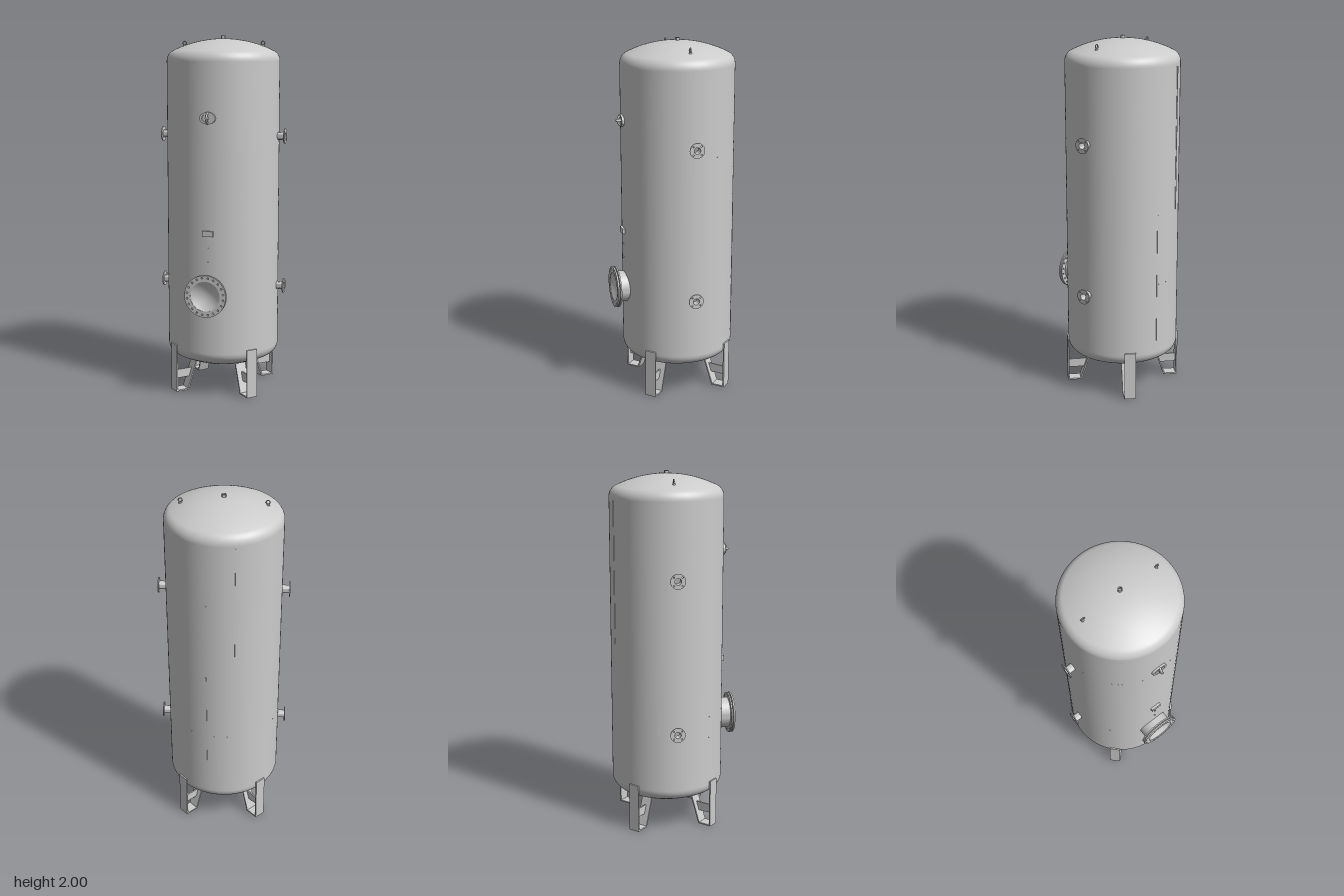
import * as THREE from 'three';
import { toCreasedNormals } from 'three/addons/utils/BufferGeometryUtils.js';
import { ParametricGeometry } from 'three/addons/geometries/ParametricGeometry.js';

const R = 0.316;                 // shell radius
const Y0 = 0.257, Y1 = 1.863;    // tangent lines of the two heads
const NOZZLE_Y = [0.6, 1.45];
const BORE = 0.018, PATCH = 0.06;

const mat = new THREE.MeshStandardMaterial({ color: 0xcccccc });
const shellMat = new THREE.MeshStandardMaterial({ color: 0xcccccc, side: THREE.DoubleSide });

function add(parent, name, geo, x = 0, y = 0, z = 0, material = mat) {
  const m = new THREE.Mesh(geo, material);
  m.name = name;
  m.position.set(x, y, z);
  parent.add(m);
  return m;
}

function group(parent, name, y = 0, turn = 0) {
  const g = new THREE.Group();
  g.name = name;
  g.position.y = y;
  g.rotation.y = turn;
  parent.add(g);
  return g;
}

// Flat round or oval ring along +z, with an optional circle of bolt holes
function ring(rOut, rIn, depth, bolts = 0, boltCircle = 0, boltR = 0, squash = 1) {
  const s = new THREE.Shape().absellipse(0, 0, rOut, rOut * squash, 0, Math.PI * 2);
  const hole = (x, y, rx, ry) => s.holes.push(new THREE.Path().absellipse(x, y, rx, ry, 0, Math.PI * 2, true));
  if (rIn) hole(0, 0, rIn, rIn * squash);
  for (let i = 0; i < bolts; i++) {
    const a = ((i + 0.5) / bolts) * Math.PI * 2;
    hole(Math.cos(a) * boltCircle, Math.sin(a) * boltCircle, boltR, boltR);
  }
  const g = new THREE.ExtrudeGeometry(s, { depth, bevelEnabled: false, curveSegments: rOut > 0.06 ? 28 : 16 });
  return toCreasedNormals(g, 0.7);
}

// Dished head: spherical crown blended into a knuckle, open in the middle
function headProfile() {
  const crown = 2 * R, k = 0.0632, rc = R - k;
  const tilt = Math.asin(rc / (crown - k));
  const centre = -Math.cos(tilt) * (crown - k);
  const pts = [];
  for (let i = 0; i <= 12; i++) {
    const a = (i / 12) * (Math.PI / 2 - tilt);
    pts.push(new THREE.Vector2(rc + k * Math.cos(a), k * Math.sin(a)));
  }
  const inner = Math.asin(0.009 / crown);
  for (let i = 1; i <= 14; i++) {
    const a = tilt + (inner - tilt) * (i / 14);
    pts.push(new THREE.Vector2(crown * Math.sin(a), centre + crown * Math.cos(a)));
  }
  return pts;
}

function buildShell(tank) {
  const shell = group(tank, 'shell');
  const band = (a, b, start = 0, len = Math.PI * 2) => add(shell, 'shellBand', new THREE.LatheGeometry(
    [new THREE.Vector2(R, a), new THREE.Vector2(R, b)], len > 4 ? 96 : 48, start, len), 0, 0, 0, shellMat);
  const da = PATCH / R;
  let y = Y0;
  for (const n of NOZZLE_Y) {
    band(y, n - PATCH);
    y = n + PATCH;
    for (const side of [-1, 1]) {
      band(n - PATCH, n + PATCH, side * Math.PI / 2 + da, Math.PI - 2 * da);
      // Curved square of shell around the nozzle bore
      const patch = new ParametricGeometry((u, v, t) => {
        const c = Math.cos(u * Math.PI * 2), s = Math.sin(u * Math.PI * 2);
        const d = THREE.MathUtils.lerp(BORE, PATCH / Math.max(Math.abs(c), Math.abs(s)), v);
        const a = side * Math.PI / 2 + (d * c) / R;
        t.set(R * Math.sin(a), n + d * s, R * Math.cos(a));
      }, 32, 5);
      add(shell, 'nozzlePatch', patch, 0, 0, 0, shellMat);
    }
  }
  band(y, Y1);
  const head = new THREE.LatheGeometry(headProfile(), 96);
  add(shell, 'topHead', head, 0, Y1, 0, shellMat);
  add(shell, 'bottomHead', head, 0, Y0, 0, shellMat).rotation.x = Math.PI;

  // Vertical weld seams at the back, staggered between the two courses
  for (const [y0, y1, turn] of [[0.28, 1.06, -1], [1.06, 1.85, 1]]) {
    const seam = group(shell, 'weldSeam', 0, Math.PI + turn * THREE.MathUtils.degToRad(15));
    add(seam, 'weldBead', new THREE.BoxGeometry(0.012, y1 - y0, 0.004), 0, (y0 + y1) / 2, R);
  }
}

function buildLeg(tank, turn) {
  const leg = group(tank, 'leg', 0, turn);
  const w = 0.064;
  add(leg, 'legPlate', new THREE.BoxGeometry(w, 0.275, 0.008), 0, 0.1375, 0.32);
  add(leg, 'footPlate', new THREE.BoxGeometry(w, 0.008, 0.08), 0, 0.004, 0.284);
  // Inner plate leans inward up to the bottom head
  const dz = -0.055, dy = 0.162;
  const strut = add(leg, 'legStrut', new THREE.BoxGeometry(w, Math.hypot(dz, dy), 0.008), 0, dy / 2 + 0.002, 0.248 + dz / 2);
  strut.rotation.x = Math.atan2(dz, dy);
  // Upright web between the two plates
  const web = new THREE.Shape([[-0.318, 0.07], [-0.226, 0.07], [-0.209, 0.12], [-0.318, 0.12]]
    .map(([x, y]) => new THREE.Vector2(x, y)));
  const webGeo = new THREE.ExtrudeGeometry(web, { depth: 0.008, bevelEnabled: false }).translate(0, 0, -0.004);
  add(leg, 'legWeb', webGeo).rotation.y = Math.PI / 2;
}

function buildManhole(tank) {
  const g = group(tank, 'manhole', 0.6);
  add(g, 'manholeNeck', ring(0.088, 0.083, 0.1), 0, 0, 0.272);
  add(g, 'manholeFlange', ring(0.117, 0.083, 0.008, 20, 0.103, 0.005), 0, 0, 0.358);
  add(g, 'manholeCoverRim', ring(0.117, 0.083, 0.009, 20, 0.103, 0.005), 0, 0, 0.371);
  // Cover dished inward
  const dish = [];
  for (let i = 0; i <= 10; i++) {
    const r = 0.083 * i / 10;
    dish.push(new THREE.Vector2(r, 0.03 * (r / 0.083) ** 2));
  }
  add(g, 'manholeCover', new THREE.LatheGeometry(dish, 48), 0, 0, 0.348, shellMat).rotation.x = Math.PI / 2;
}

function buildHandhole(tank) {
  const g = group(tank, 'handhole', 1.563);
  add(g, 'handholeRim', ring(0.044, 0.031, 0.022, 0, 0, 0, 0.74), 0, 0, 0.305);
  add(g, 'handholeLid', ring(0.031, 0, 0.015, 0, 0, 0, 0.74), 0, 0, 0.305);
  const arch = new THREE.QuadraticBezierCurve3(
    new THREE.Vector3(0, -0.03, 0.322), new THREE.Vector3(0, 0, 0.358), new THREE.Vector3(0, 0.03, 0.322));
  add(g, 'handholeBridge', new THREE.TubeGeometry(arch, 12, 0.006, 8));
  add(g, 'handholeStud', ring(0.007, 0, 0.03), 0, 0, 0.32);
}

export function createModel() {
  const model = new THREE.Group();
  model.name = 'pressureVessel';
  const tank = group(model, 'tank');
  tank.position.z = -0.033;
  buildShell(tank);
  for (let i = 0; i < 4; i++) buildLeg(tank, Math.PI / 4 + i * Math.PI / 2);
  buildManhole(tank);
  buildHandhole(tank);

  for (const side of [-1, 1]) {
    // Flanged side nozzles
    for (const y of NOZZLE_Y) {
      const n = group(tank, 'sideNozzle', y, side * Math.PI / 2);
      add(n, 'nozzlePipe', ring(0.022, BORE, 0.046), 0, 0, 0.31);
      add(n, 'nozzleFlange', ring(0.042, BORE, 0.006, 4, 0.032, 0.004), 0, 0, 0.352);
    }
    // Lifting eyes
    const eye = group(tank, 'liftingEye', 1.94);
    eye.position.x = side * 0.226;
    add(eye, 'eyeBase', new THREE.CylinderGeometry(0.008, 0.009, 0.01, 16), 0, 0.003, 0);
    add(eye, 'eyeRing', new THREE.TorusGeometry(0.01, 0.0032, 8, 20), 0, 0.02, 0);
  }

  // Open sockets at the crown and the drain
  for (const [name, y] of [['topSocket', 1.975], ['drainSocket', 0.12]]) {
    add(tank, name, ring(0.0125, 0.01, 0.025), 0, y + 0.025, 0).rotation.x = Math.PI / 2;
  }

  // Nameplate and the two small studs below it
  add(tank, 'nameplate', new THREE.BoxGeometry(0.06, 0.03, 0.018), 0, 0.936, 0.32);
  for (const y of [0.855, 0.775]) add(tank, 'gaugeStud', ring(0.004, 0, 0.012), 0, y, 0.31);
  return model;
}
